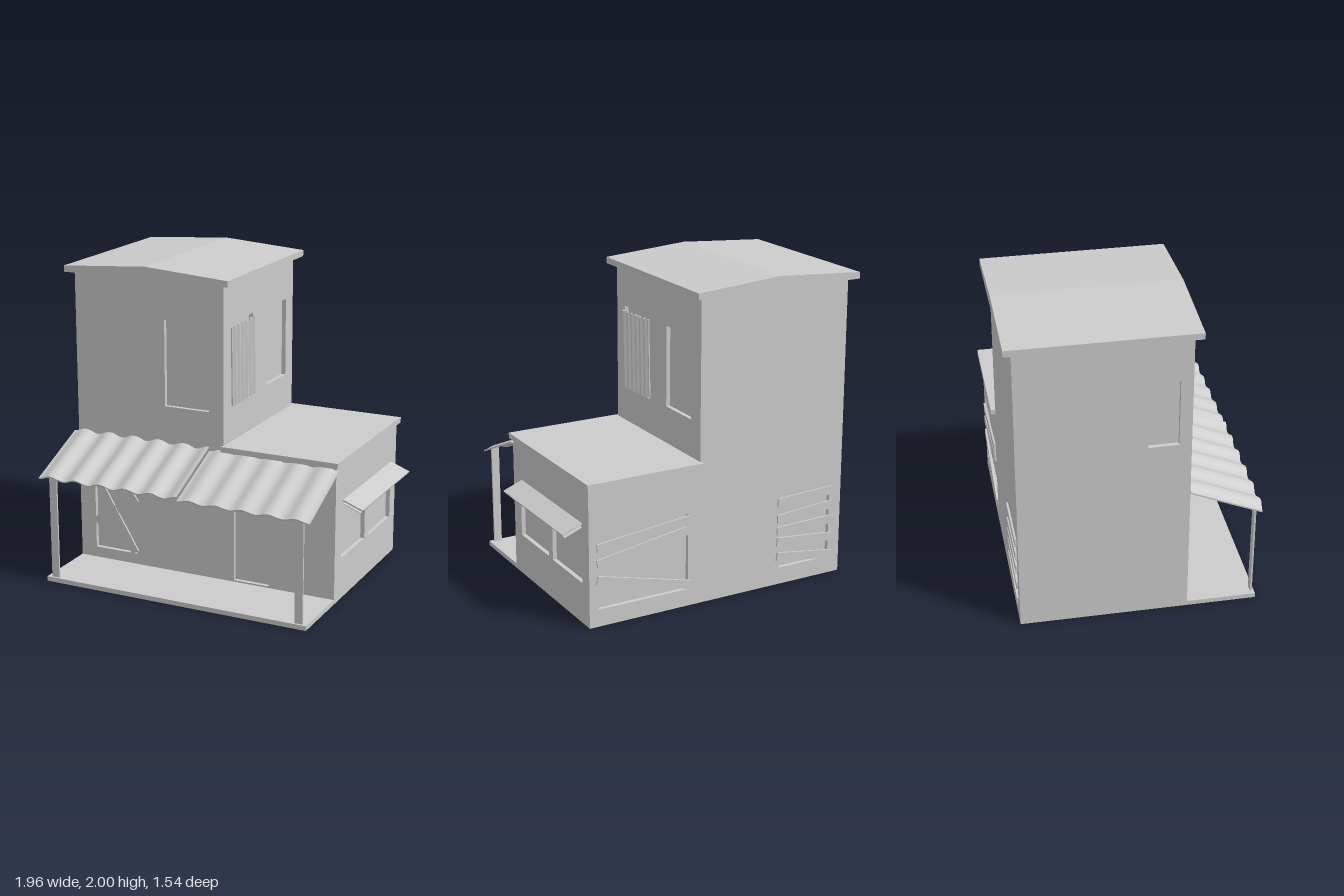
import * as THREE from 'three';

const mat = new THREE.MeshStandardMaterial({ color: 0xcccccc, flatShading: true });

function add(parent, name, geo, x = 0, y = 0, z = 0) {
  const m = new THREE.Mesh(geo, mat);
  m.name = name;
  m.position.set(x, y, z);
  parent.add(m);
  return m;
}

// Box given by its minimum and maximum corners
function block(parent, name, [x0, y0, z0], [x1, y1, z1]) {
  return add(parent, name, new THREE.BoxGeometry(x1 - x0, y1 - y0, z1 - z0),
    (x0 + x1) / 2, (y0 + y1) / 2, (z0 + z1) / 2);
}

const polygon = pts => new THREE.Shape(pts.map(p => new THREE.Vector2(...p)));
const rect = (u0, v0, u1, v1) => [[u0, v0], [u1, v0], [u1, v1], [u0, v1]];

// Wall with recessed openings; local x runs along the wall, local z points outwards
function wall(parent, name, outline, openings, pos, turn) {
  const depth = 0.03;
  const g = new THREE.Group();
  g.name = name;
  g.position.set(...pos);
  g.rotation.y = turn;
  const shape = polygon(outline);
  for (const o of openings) shape.holes.push(new THREE.Path(polygon(rect(...o)).getPoints()));
  add(g, name + 'Surface', new THREE.ExtrudeGeometry(shape, { depth, bevelEnabled: false }), 0, 0, -depth);
  for (const [u0, v0, u1, v1] of openings) {
    add(g, 'recessedPanel', new THREE.PlaneGeometry(u1 - u0, v1 - v0), (u0 + u1) / 2, (v0 + v1) / 2, -depth + 0.003);
  }
  parent.add(g);
  return g;
}

// Board nailed to a wall between two points
function plank(parent, [u0, v0, u1, v1], width = 0.055, z = 0.005) {
  const len = Math.hypot(u1 - u0, v1 - v0);
  const m = add(parent, 'plank', new THREE.BoxGeometry(len, width, 0.012), (u0 + u1) / 2, (v0 + v1) / 2, z);
  m.rotation.z = Math.atan2(v1 - v0, u1 - u0);
}

// Corrugated sheet: wavy profile along x, extruded along z
function corrugated(width, length, waves, amp, thick, perWave = 10) {
  const n = Math.round(waves * perWave), top = [], bottom = [];
  for (let i = 0; i <= n; i++) {
    const x = width * i / n, y = -amp * Math.cos(2 * Math.PI * waves * i / n);
    top.push([x, y]);
    bottom.unshift([x, y - thick]);
  }
  return new THREE.ExtrudeGeometry(polygon([...bottom, ...top].reverse()), { depth: length, bevelEnabled: false });
}

export function createModel() {
  const house = new THREE.Group();
  house.name = 'house';
  const L = -0.935, M = 0.1, R = 0.85, B = -0.72, F = 0.32, low = 0.88, high = 1.92;

  // Floor slab with porch
  block(house, 'floorSlab', [L, 0, B], [R, 0.03, 0.755]);

  // Front wall: upper window, boarded lower window and door
  const front = wall(house, 'frontWall',
    [[L, 0], [R, 0], [R, low], [M, low], [M, high], [L, high]],
    [[-0.305, 1.12, 0, 1.67], [-0.825, 0.1, -0.52, 0.59], [0.17, 0.04, 0.41, 0.55]],
    [0, 0, F], 0);
  plank(front, [-0.81, 0.58, -0.53, 0.11], 0.055, 0.008);
  plank(front, [-0.82, 0.28, -0.52, 0.485], 0.055, 0.004);

  // Back wall with two boarded windows (local x is mirrored)
  const back = wall(house, 'backWall',
    [[-R, 0], [-M, 0], [-L, 0], [-L, high], [-M, high], [-M, low], [-R, low]],
    [[-0.79, 0.11, -0.18, 0.6], [0.48, 0.11, 0.85, 0.59]],
    [0, 0, B], Math.PI);
  const boards = [
    [-0.8, 0.5, -0.17, 0.565], [-0.8, 0.4, -0.17, 0.5], [-0.8, 0.3, -0.17, 0.14],
    [0.46, 0.55, 0.87, 0.565], [0.46, 0.44, 0.87, 0.47], [0.46, 0.36, 0.87, 0.37],
    [0.46, 0.29, 0.87, 0.25], [0.46, 0.19, 0.87, 0.13],
  ];
  for (const b of boards) plank(back, b);

  // Side walls
  wall(house, 'lowerLeftWall', rect(-F, 0, -B, low),
    [[-0.22, 0.265, 0.175, 0.61], [0.23, 0.26, 0.63, 0.6]], [R, 0, 0], Math.PI / 2);
  const upper = wall(house, 'upperLeftWall', rect(-F, low, -B, high),
    [[-0.22, 1.14, 0.1, 1.67], [0.31, 1.15, 0.61, 1.66]], [M, 0, 0], Math.PI / 2);
  wall(house, 'rightWall', rect(B, 0, F, high),
    [[0.06, 1.2, 0.245, 1.63]], [L, 0, 0], -Math.PI / 2);

  // Corrugated sheet covering one upper window
  const shutter = add(upper, 'windowSheet', corrugated(0.325, 0.5, 6, 0.01, 0.008), -0.222, 1.645, 0.02);
  shutter.rotation.set(Math.PI / 2, 0, 0.025, 'ZXY');

  // Low-pitched upper roof and flat lower roof
  const gable = polygon([[-0.985, 1.92], [0.15, 1.92], [0.15, 1.96], [-0.41, 2], [-0.985, 1.96]]);
  add(house, 'upperRoof', new THREE.ExtrudeGeometry(gable, { depth: 1.135, bevelEnabled: false }), 0, 0, -0.77);
  block(house, 'lowerRoof', [M - 0.01, low, -0.75], [0.867, 0.915, 0.343]);

  // Porch awning in two sheets
  const sheets = [[-0.97, 0.97, 0.888, 5.5, 0.013, 0], [0, 0.865, 0.88, 5, 0.01, -0.008]];
  for (const [x, width, y, waves, amp, roll] of sheets) {
    const s = add(house, 'porchAwning', corrugated(width, 0.485, waves, amp, 0.01), x, y, F);
    s.rotation.set(0.404, 0, roll);
  }

  // Porch posts
  for (const x of [-0.905, 0.77]) block(house, 'porchPost', [x, 0.03, 0.73], [x + 0.052, 0.69, 0.742]);

  // Small side awning with a ribbed underside
  const awning = new THREE.Group();
  awning.name = 'sideAwning';
  awning.position.set(R, 0.638, 0);
  awning.rotation.set(0, Math.PI / 2, 0);
  const tilt = new THREE.Group();
  tilt.rotation.x = 0.37;
  awning.add(tilt);
  block(tilt, 'awningTop', [-0.2, -0.006, -0.01], [0.635, 0.004, 0.136]);
  add(tilt, 'awningRibs', corrugated(0.83, 0.13, 7, 0.008, 0.004, 2), -0.195, -0.012, 0);
  house.add(awning);

  return house;
}
